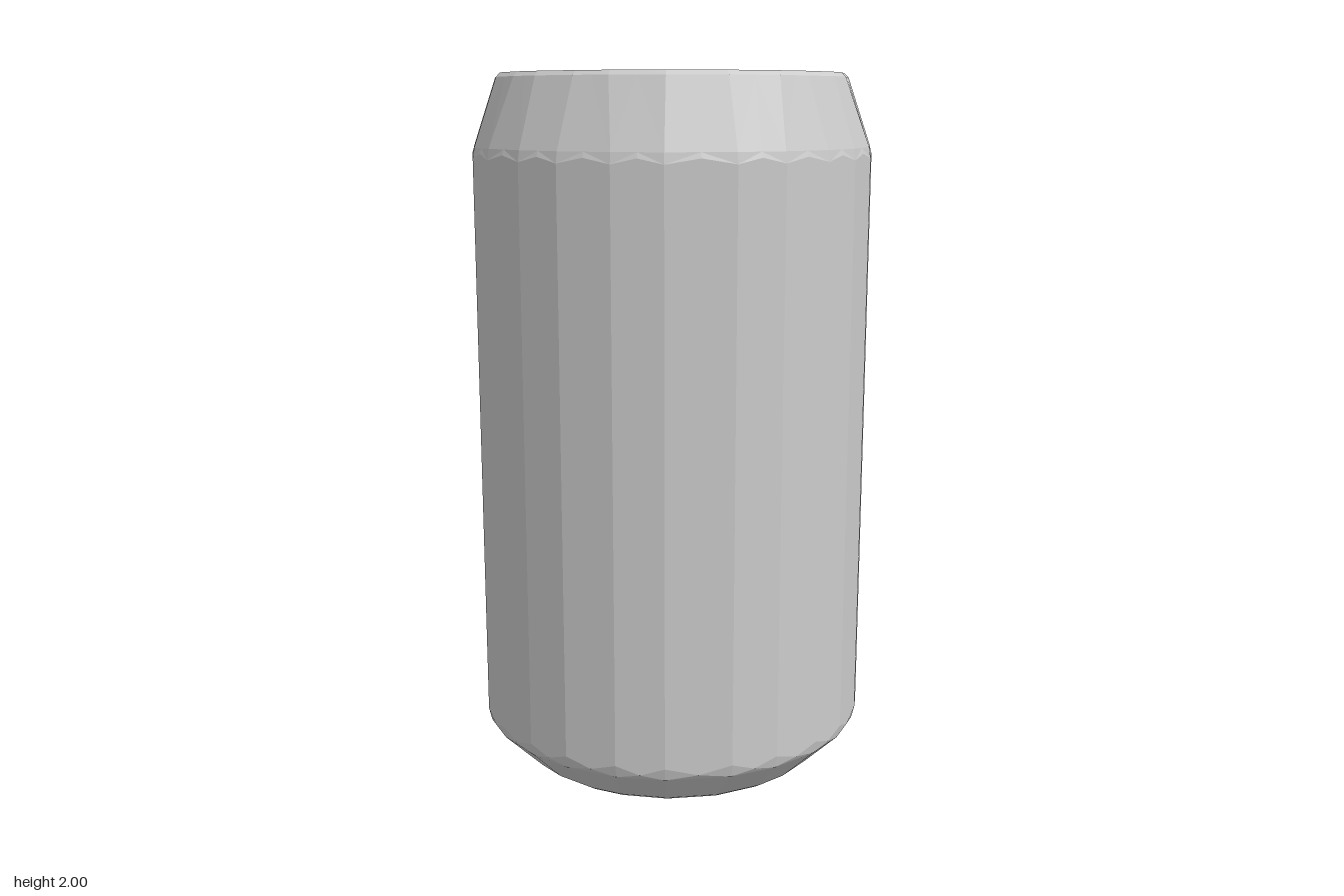
import * as THREE from 'three';

// Corner angles (degrees) in one quadrant; the facets are slightly uneven
const bodyAngles = [6.6, 21.8, 35.6, 54.4, 68.2, 83.4];
const capAngles = [7.5, 19, 35.8, 54.2, 71, 82.5];

// A ring of 24 corners plus the midpoint of every side; mids may sit at another height
function ring(radius, y, angles, midY = y) {
  const corners = [];
  for (let q = 0; q < 4; q++) {
    for (const a of angles) {
      const t = THREE.MathUtils.degToRad(a + q * 90);
      corners.push(new THREE.Vector3(radius * Math.sin(t), y, radius * Math.cos(t)));
    }
  }
  const points = [];
  corners.forEach((c, i) => {
    const mid = c.clone().lerp(corners[(i + 1) % corners.length], 0.5);
    mid.y = midY;
    points.push(c, mid);
  });
  return points;
}

function toMesh(name, triangles, material) {
  const geometry = new THREE.BufferGeometry().setFromPoints(triangles);
  geometry.computeVertexNormals();
  const mesh = new THREE.Mesh(geometry, material);
  mesh.name = name;
  return mesh;
}

// Wall skinned through rings listed from bottom to top
function wall(name, rings, material) {
  const tris = [];
  for (let k = 0; k < rings.length - 1; k++) {
    const lo = rings[k], hi = rings[k + 1];
    for (let i = 0; i < lo.length; i++) {
      const j = (i + 1) % lo.length;
      // Mirror the diagonal on every other half-side
      if (i % 2) tris.push(lo[i], lo[j], hi[i], lo[j], hi[j], hi[i]);
      else tris.push(lo[i], lo[j], hi[j], lo[i], hi[j], hi[i]);
    }
  }
  return toMesh(name, tris, material);
}

// Flat disc closing a ring, facing up or down
function cap(name, points, up, material) {
  const centre = new THREE.Vector3(0, points[0].y, 0);
  const tris = [];
  points.forEach((p, i) => {
    const next = points[(i + 1) % points.length];
    tris.push(centre, up ? p : next, up ? next : p);
  });
  return toMesh(name, tris, material);
}

export function createModel() {
  const material = new THREE.MeshStandardMaterial({ color: 0xcccccc, flatShading: true });
  const group = new THREE.Group();
  group.name = 'can';

  const foot = ring(0.435, 0, capAngles);
  const footEdge = ring(0.455, 0.013, capAngles);
  const lowerBevel = ring(0.56, 0.118, bodyAngles);
  const bodyBottom = ring(0.569, 0.155, bodyAngles, 0.132);
  const bodyTop = ring(0.569, 1.77, bodyAngles, 1.785);
  const upperBevel = ring(0.564, 1.8, bodyAngles);
  const rimEdge = ring(0.499, 1.988, capAngles);
  const rim = ring(0.487, 2, capAngles);

  group.add(
    wall('bottomTaper', [foot, footEdge, lowerBevel, bodyBottom], material),
    wall('body', [bodyBottom, bodyTop], material),
    wall('shoulder', [bodyTop, upperBevel, rimEdge, rim], material),
    cap('lid', rim, true, material),
    cap('base', foot, false, material)
  );
  return group;
}
